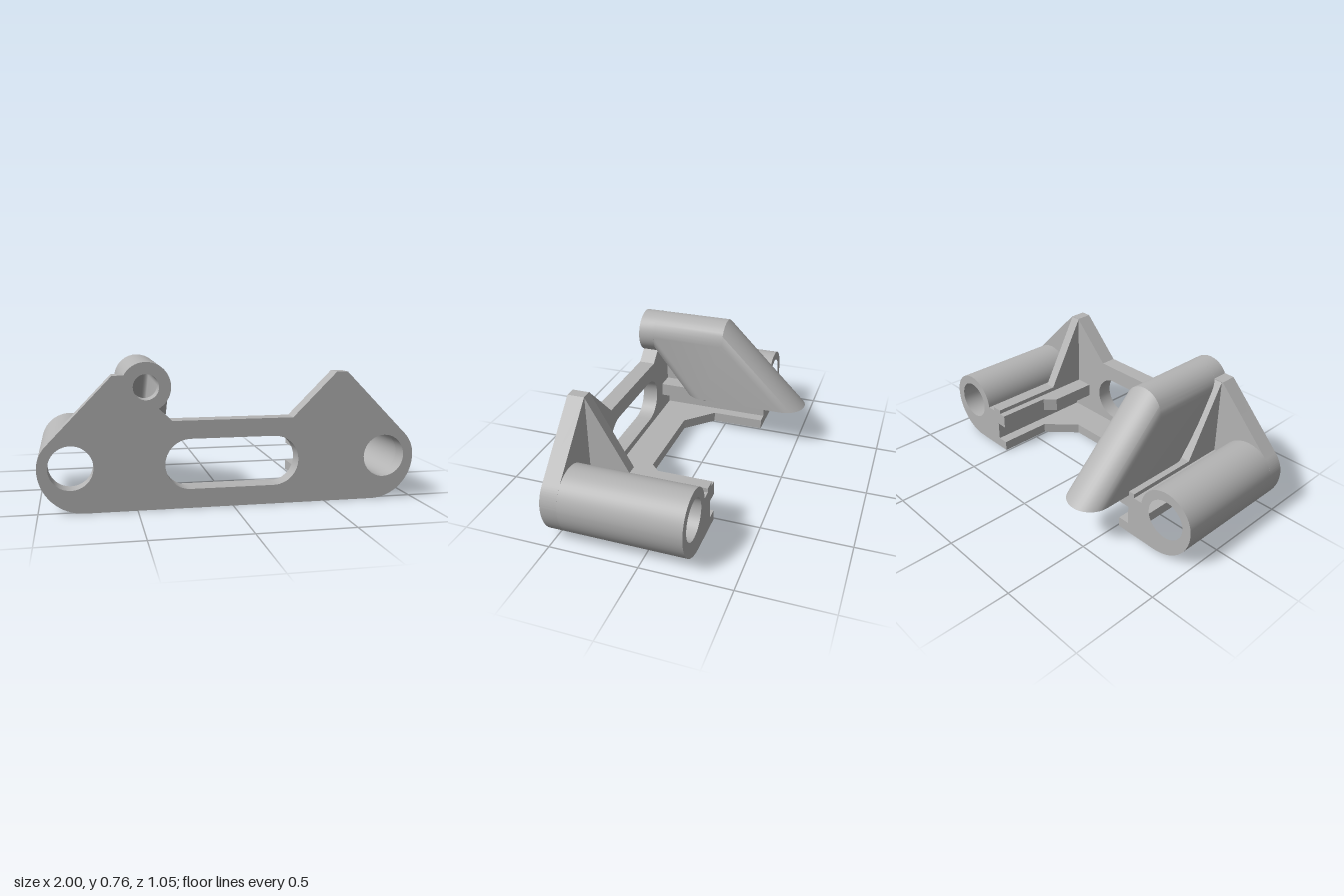
import * as THREE from 'three';
import { toCreasedNormals } from 'three/addons/utils/BufferGeometryUtils.js';

const V = (x, y) => new THREE.Vector2(x, y);
const DEG = Math.PI / 180;

// points along an arc, angles in degrees
function arc(cx, cy, r, from, to, n = 16) {
  return Array.from({ length: n + 1 }, (_, i) => {
    const a = (from + (to - from) * i / n) * DEG;
    return V(cx + r * Math.cos(a), cy + r * Math.sin(a));
  });
}

const poly = (list) => list.map(([x, y]) => V(x, y));
const flip = (pts, s) => pts.map((p) => V(p.x * s, p.y));

function extrude(points, holes, depth) {
  const shape = new THREE.Shape(points);
  holes.forEach((h) => shape.holes.push(new THREE.Path(h)));
  return toCreasedNormals(new THREE.ExtrudeGeometry(shape, { depth, bevelEnabled: false }), 0.5);
}

const BACK = -0.24, PLATE = 0.43, FRONT = 0.525;
const BOSS_X = 0.833, BOSS_Y = 0.235;
const TUBE_X = -0.45, TUBE_Y = 0.635, TUBE_R = 0.127, BORE_R = 0.066;

// duct: a tube that opens out into a long rounded mouth facing down
function ductGeometry() {
  const n = 18;
  const ring = (r, kind) => {
    const pts = [];
    for (const half of [0, 1]) {
      for (let i = 0; i <= n; i++) {
        const a = (half + i / n) * Math.PI;
        const x = TUBE_X + r * Math.cos(a), s = r * Math.sin(a);
        if (kind === 'start') pts.push([x, TUBE_Y + s, PLATE + 0.01]);
        else if (kind === 'bend') pts.push([x, TUBE_Y + s, half ? PLATE : -0.018]);
        else pts.push([x, 0.25, (half ? 0.113 : -0.403) - s]);
      }
    }
    return pts;
  };
  const kinds = ['start', 'bend', 'mouth'];
  const rings = [
    ...kinds.map((k) => ring(TUBE_R, k)),
    ...kinds.slice().reverse().map((k) => ring(BORE_R, k)),
  ];
  const m = rings[0].length, index = [];
  for (let j = 0; j < rings.length - 1; j++) {
    for (let i = 0; i < m; i++) {
      const k = (i + 1) % m;
      const a = j * m + i, b = j * m + k, c = a + m, d = b + m;
      index.push(a, c, b, b, c, d);
    }
  }
  const g = new THREE.BufferGeometry();
  g.setAttribute('position', new THREE.Float32BufferAttribute(rings.flat(2), 3));
  g.setIndex(index);
  return toCreasedNormals(g, 0.5);
}

export function createModel() {
  const group = new THREE.Group();
  const grey = new THREE.MeshStandardMaterial({ color: 0xb4b4b4 });
  grey.name = 'grey plastic';
  const add = (name, geometry, x = 0, y = 0, z = 0) => {
    const mesh = new THREE.Mesh(geometry, grey);
    mesh.name = name;
    mesh.position.set(x, y, z);
    group.add(mesh);
  };

  // rounded outer end shared by the plate and the bosses
  const lowerEnd = arc(0.767, 0.233, 0.233, -90, 0);
  const upperEnd = (to) => arc(BOSS_X, BOSS_Y, 0.167, 4, to, 28);
  const bossHole = (s) => flip(arc(BOSS_X, BOSS_Y, 0.114, 0, 360, 40).slice(0, -1), s);

  // front plate with two ears, a long slot, two boss holes and the tube hole
  const end = [...lowerEnd, ...upperEnd(47)];
  const outline = [
    ...end,
    ...poly([[0.615, 0.695], [0.555, 0.695], [0.32, 0.46], [-0.32, 0.46]]),
    ...arc(TUBE_X, TUBE_Y, TUBE_R, -62, 151, 30),
    V(-0.62, 0.695),
    ...flip(end, -1).reverse(),
  ];
  const slot = [
    ...arc(0.22, 0.233, 0.132, -90, 90),
    ...arc(-0.225, 0.233, 0.132, 90, 270),
  ];
  const bore = arc(TUBE_X, TUBE_Y, BORE_R, 0, 360, 36).slice(0, -1);
  add('frontPlate', extrude(outline, [bossHole(1), bossHole(-1), slot, bore], FRONT - PLATE), 0, 0, PLATE);

  // plan shapes lie in x and z and are raised along y
  const plan = (points, height) => extrude(points.map((p) => V(p.x, -p.y)), [], height).rotateX(-Math.PI / 2);

  // floor with a cut-out at the back
  const floorSide = poly([[0.6, PLATE], [0.6, BACK], [0.51, BACK], [0.51, 0.08], [0.35, 0.24]]);
  add('floor', plan([...floorSide, ...flip(floorSide, -1).reverse()], 0.06));

  for (const s of [1, -1]) {
    const side = s > 0 ? 'left' : 'right';

    // hollow boss running to the back
    const boss = [...lowerEnd, ...upperEnd(175), V(0.575, 0.25), V(0.575, 0)];
    add(side + 'Boss', extrude(flip(boss, s), [bossHole(s)], PLATE - BACK), 0, 0, BACK);

    // rail above the floor, leaving a groove between them
    const rail = poly([[0.6, BACK], [0.51, BACK], [0.51, 0.08], [0.45, 0.14], [0.45, PLATE], [0.6, PLATE]]);
    add(side + 'Rail', plan(flip(rail, s), 0.08), 0, 0.17, 0);

    // thin rib rising to the ear as a gusset
    const rib = poly([[BACK, 0.2], [PLATE, 0.2], [PLATE, 0.692], [0.2, 0.275], [BACK, 0.275]]);
    add(side + 'Gusset', extrude(rib, [], 0.06).rotateY(-Math.PI / 2), s > 0 ? 0.613 : -0.553);
  }

  add('duct', ductGeometry());
  return group;
}
